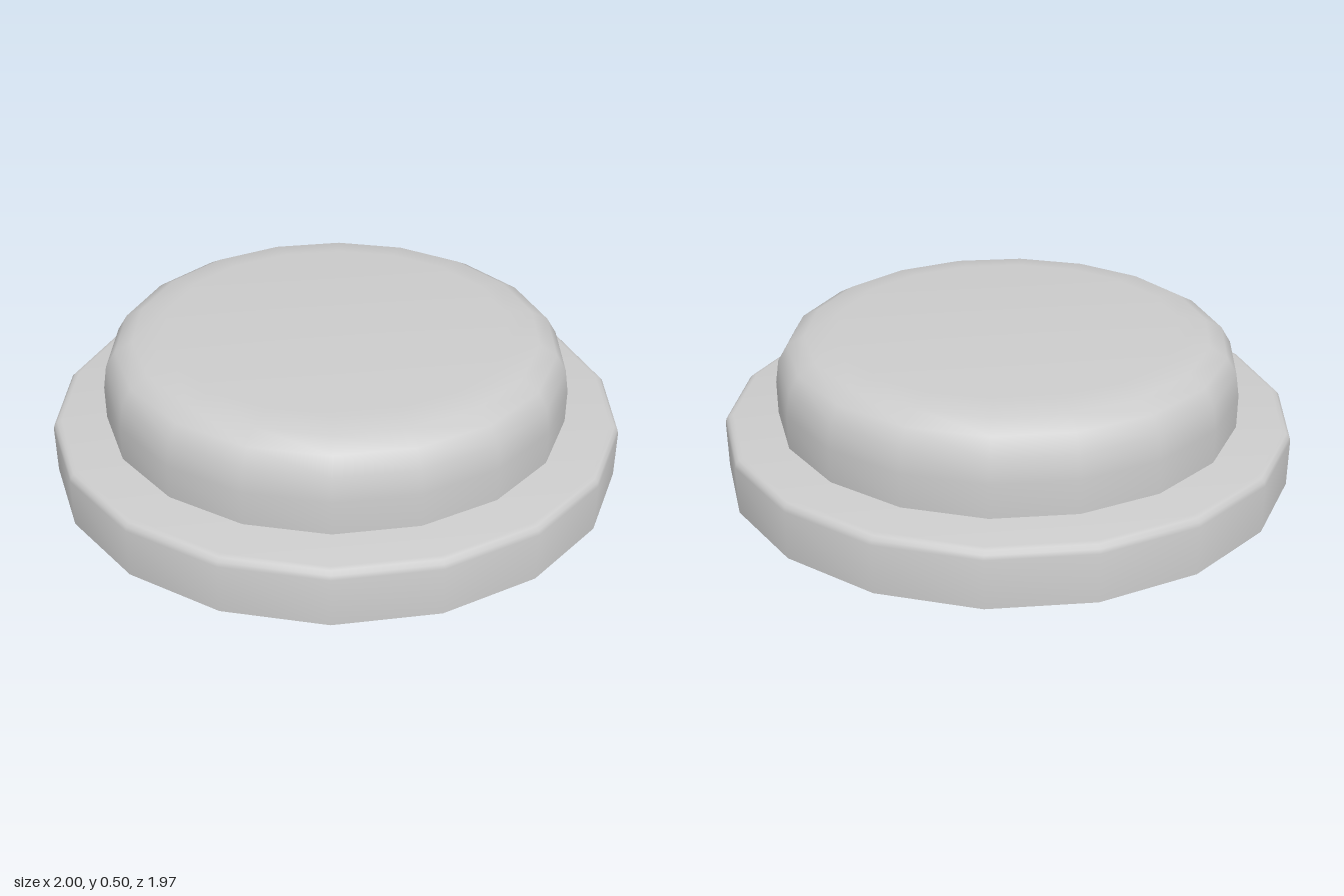
import * as THREE from 'three';
import { toCreasedNormals } from 'three/addons/utils/BufferGeometryUtils.js';

const SIDES = 18;
const material = new THREE.MeshStandardMaterial({ color: 0xcccccc });

// Turns a [radius, height] profile into an 18-sided solid with corners on the x axis.
function turned(name, profile) {
  const points = profile.map(([r, y]) => new THREE.Vector2(r, y));
  const lathe = new THREE.LatheGeometry(points, SIDES, Math.PI / 2);
  const mesh = new THREE.Mesh(toCreasedNormals(lathe, 0.7), material);
  mesh.name = name;
  return mesh;
}

export function createModel() {
  const group = new THREE.Group();
  group.name = 'button';

  // Wide base with a small rounded upper edge
  group.add(turned('base', [
    [0, 0], [1, 0], [1, 0.17], [0.996, 0.185], [0.985, 0.196], [0.97, 0.2], [0, 0.2],
  ]));

  // Raised cap with a soft shoulder and flat top
  group.add(turned('cap', [
    [0.813, 0.2], [0.813, 0.318], [0.8, 0.4], [0.765, 0.457], [0.705, 0.49], [0.604, 0.502], [0, 0.502],
  ]));

  return group;
}
